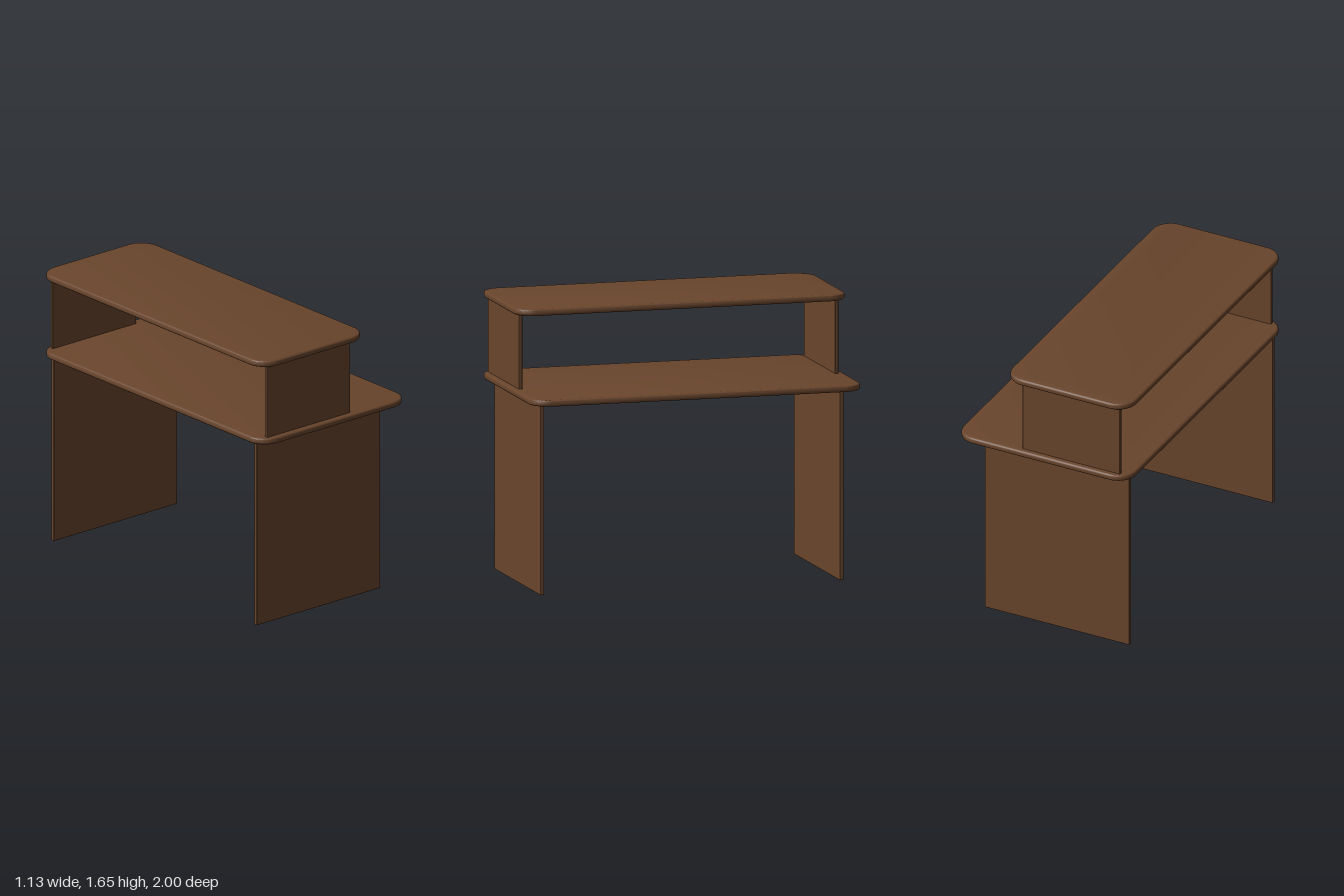
import * as THREE from 'three';
import { toCreasedNormals } from 'three/addons/utils/BufferGeometryUtils.js';
import { RoundedBoxGeometry } from 'three/addons/geometries/RoundedBoxGeometry.js';

const wood = new THREE.MeshStandardMaterial({ color: 0x69452c });
wood.name = 'brown wood';

function addMesh(group, name, geometry) {
  const mesh = new THREE.Mesh(geometry, wood);
  mesh.name = name;
  group.add(mesh);
  return mesh;
}

// Horizontal board with rounded corners and a softly rounded rim
function boardGeometry(x0, x1, y0, y1, halfDepth, radius) {
  const b = 0.013;
  const l = x0 + b, r = x1 - b, d = halfDepth - b, c = radius - b;
  const s = new THREE.Shape();
  s.moveTo(l + c, -d);
  s.lineTo(r - c, -d);
  s.absarc(r - c, -d + c, c, -Math.PI / 2, 0);
  s.lineTo(r, d - c);
  s.absarc(r - c, d - c, c, 0, Math.PI / 2);
  s.lineTo(l + c, d);
  s.absarc(l + c, d - c, c, Math.PI / 2, Math.PI);
  s.lineTo(l, -d + c);
  s.absarc(l + c, -d + c, c, Math.PI, Math.PI * 1.5);
  const geometry = new THREE.ExtrudeGeometry(s, {
    depth: y1 - y0 - 2 * b, bevelEnabled: true, bevelSize: b,
    bevelThickness: b, bevelSegments: 4, curveSegments: 12,
  });
  geometry.rotateX(-Math.PI / 2).translate(0, y0 + b, 0);
  return toCreasedNormals(geometry, 0.6);
}

// Matching upright panels at the front and back ends
function addPanels(group, name, x0, x1, y0, y1, z, thickness) {
  for (const [end, side] of [['front', 1], ['back', -1]]) {
    const geometry = new RoundedBoxGeometry(x1 - x0, y1 - y0, thickness, 2, 0.004);
    const panel = addMesh(group, end + name, geometry);
    panel.position.set((x0 + x1) / 2, (y0 + y1) / 2, side * z);
  }
}

export function createModel() {
  const desk = new THREE.Group();
  desk.name = 'desk';

  // Desk top and the raised shelf, flush along the -x edge
  addMesh(desk, 'deskTop', boardGeometry(-0.563, 0.563, 1.13, 1.168, 1, 0.12));
  addMesh(desk, 'raisedShelf', boardGeometry(-0.563, 0.244, 1.61, 1.648, 1, 0.12));

  // Side legs and shelf supports
  addPanels(desk, 'LegPanel', -0.534, 0.408, 0, 1.134, 0.904, 0.024);
  addPanels(desk, 'ShelfSupport', -0.497, 0.138, 1.164, 1.614, 0.954, 0.021);

  return desk;
}
